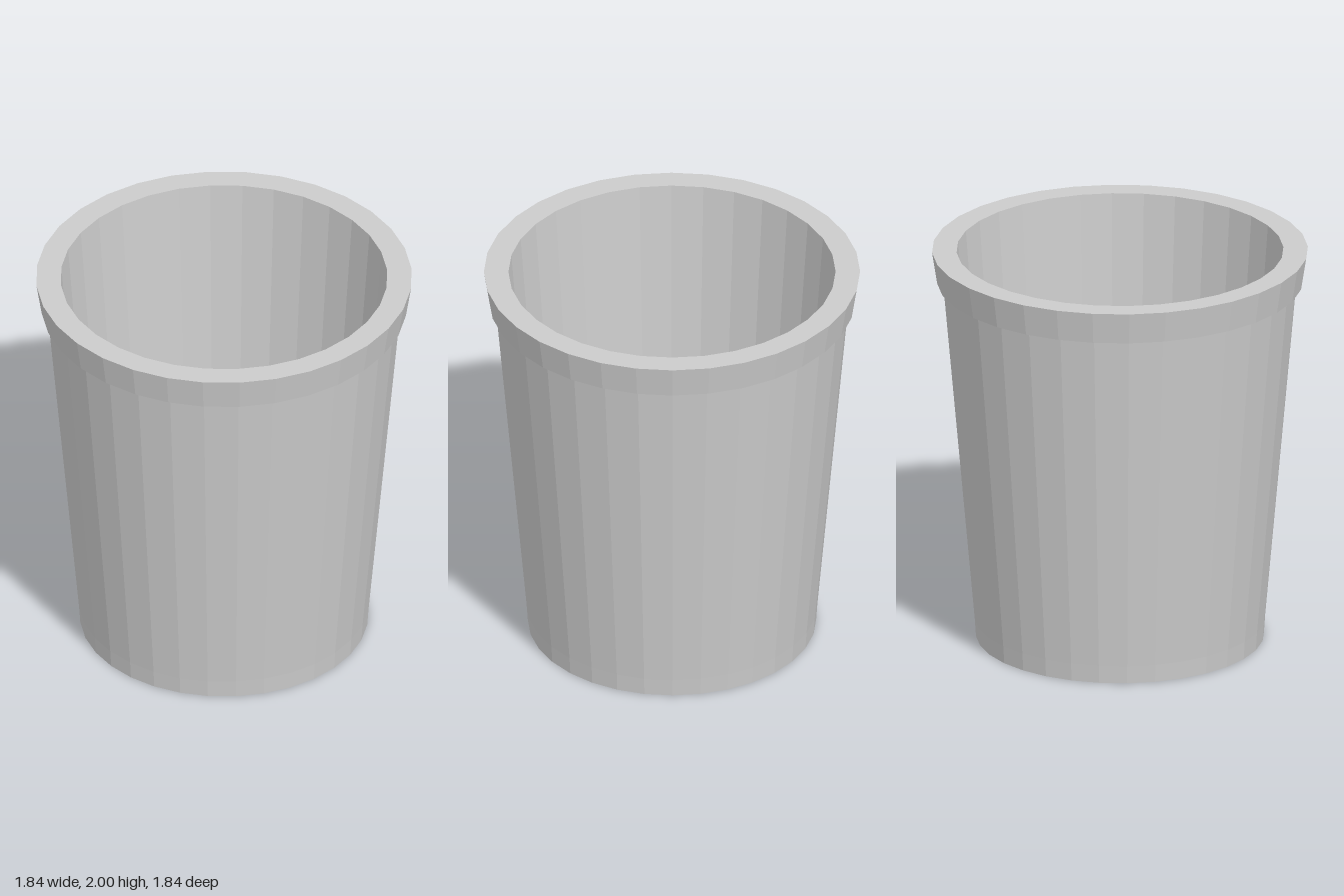
import * as THREE from 'three';

const SIDES = 32;
const material = new THREE.MeshStandardMaterial({ color: 0xcccccc, flatShading: true });

// Revolves a [radius, height] profile into a faceted part
function turned(name, profile) {
  const points = profile.map(([r, y]) => new THREE.Vector2(r, y));
  const mesh = new THREE.Mesh(new THREE.LatheGeometry(points, SIDES), material);
  mesh.name = name;
  return mesh;
}

export function createModel() {
  const group = new THREE.Group();
  group.name = 'bucket';

  // Recessed underside with a thin foot ring
  group.add(turned('underside', [[0, 0.09], [0.695, 0.09], [0.69, 0], [0.705, 0]]));

  // Tapered outer wall, slightly straighter at the foot
  group.add(turned('outerWall', [[0.705, 0], [0.711, 0.09], [0.866, 1.84]]));

  // Flared collar with its lower ledge and flat lip
  group.add(turned('rim', [[0.866, 1.84], [0.895, 1.84], [0.92, 2], [0.8, 2]]));

  // Inside wall and floor
  group.add(turned('interior', [[0.8, 2], [0.66, 0.13], [0, 0.13]]));

  return group;
}
